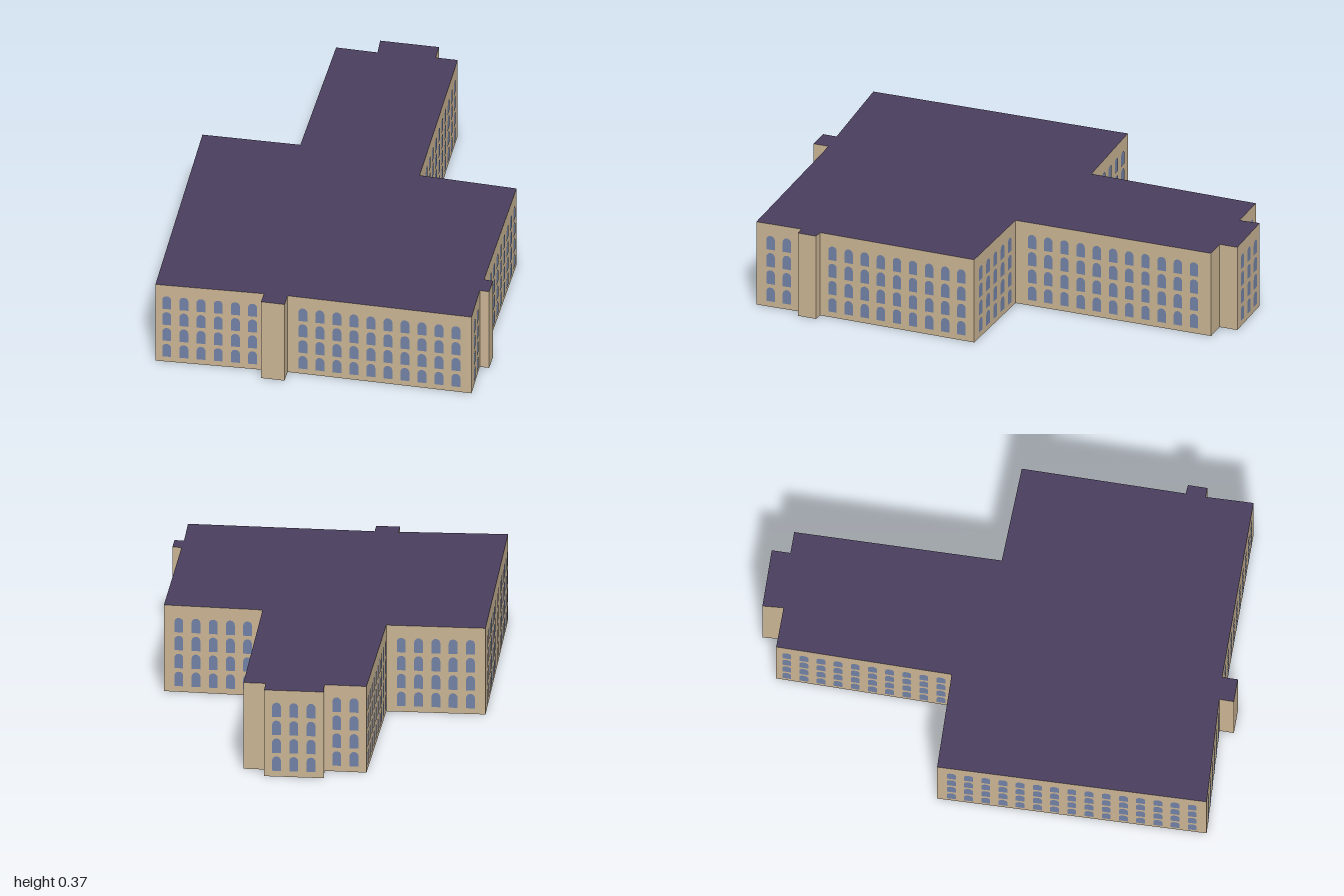
import * as THREE from 'three';

const HEIGHT = 0.37;
const FLOORS = 4;
const BAY = 0.07; // spacing of window columns

// Footprint corners as [x, z], clockwise seen from above
const FOOTPRINT = [
  [0.167, -1.0], [0.405, -0.955], [0.391, -0.88], [0.48, -0.862],
  [0.332, -0.03], [0.723, 0.063], [0.596, 0.72], [0.632, 0.73],
  [0.617, 0.808], [0.579, 0.8], [0.547, 0.992], [-0.195, 0.842],
  [-0.207, 0.905], [-0.302, 0.886], [-0.29, 0.828], [-0.728, 0.763],
  [-0.545, -0.318], [-0.15, -0.247], [-0.01, -0.95], [0.157, -0.915],
];

// Round-headed window outline, standing on y = 0
function windowGeometry() {
  const r = 0.018, spring = 0.044;
  const shape = new THREE.Shape();
  shape.moveTo(-r, 0);
  shape.lineTo(r, 0);
  shape.lineTo(r, spring);
  shape.absarc(0, spring, r, 0, Math.PI, false);
  return new THREE.ShapeGeometry(shape, 4);
}

export function createModel() {
  const wallMat = new THREE.MeshStandardMaterial({ color: 0xc9b393, side: THREE.DoubleSide });
  wallMat.name = 'sandstone';
  const roofMat = new THREE.MeshStandardMaterial({ color: 0x493e5d, side: THREE.DoubleSide });
  roofMat.name = 'slate purple';
  const glassMat = new THREE.MeshStandardMaterial({ color: 0x7180a4 });
  glassMat.name = 'window blue';

  const building = new THREE.Group();
  building.name = 'building';
  const paneGeo = windowGeometry();

  // One facade per footprint edge, with its rows of windows
  FOOTPRINT.forEach(([x0, z0], i) => {
    const [x1, z1] = FOOTPRINT[(i + 1) % FOOTPRINT.length];
    const dx = x1 - x0, dz = z1 - z0, length = Math.hypot(dx, dz);

    const facade = new THREE.Group();
    facade.name = 'facade';
    facade.position.set((x0 + x1) / 2, 0, (z0 + z1) / 2);
    facade.rotation.y = Math.atan2(dz, -dx); // local +z points outwards
    building.add(facade);

    const wall = new THREE.Mesh(new THREE.PlaneGeometry(length, HEIGHT), wallMat);
    wall.name = 'wall';
    wall.position.y = HEIGHT / 2;
    facade.add(wall);

    if (length < 0.12) return; // narrow returns stay blank
    const columns = Math.floor((length - 0.083) / BAY) + 1;
    for (let c = 0; c < columns; c++) {
      for (let f = 0; f < FLOORS; f++) {
        const pane = new THREE.Mesh(paneGeo, glassMat);
        pane.name = 'window';
        pane.position.set((c - (columns - 1) / 2) * BAY, 0.025 + f * 0.077, 0.002);
        facade.add(pane);
      }
    }
  });

  // Flat roof over the whole footprint
  const outline = new THREE.Shape(FOOTPRINT.map(([x, z]) => new THREE.Vector2(x, -z)));
  const roof = new THREE.Mesh(new THREE.ShapeGeometry(outline), roofMat);
  roof.name = 'roof';
  roof.rotation.x = -Math.PI / 2;
  roof.position.y = HEIGHT;
  building.add(roof);

  return building;
}
